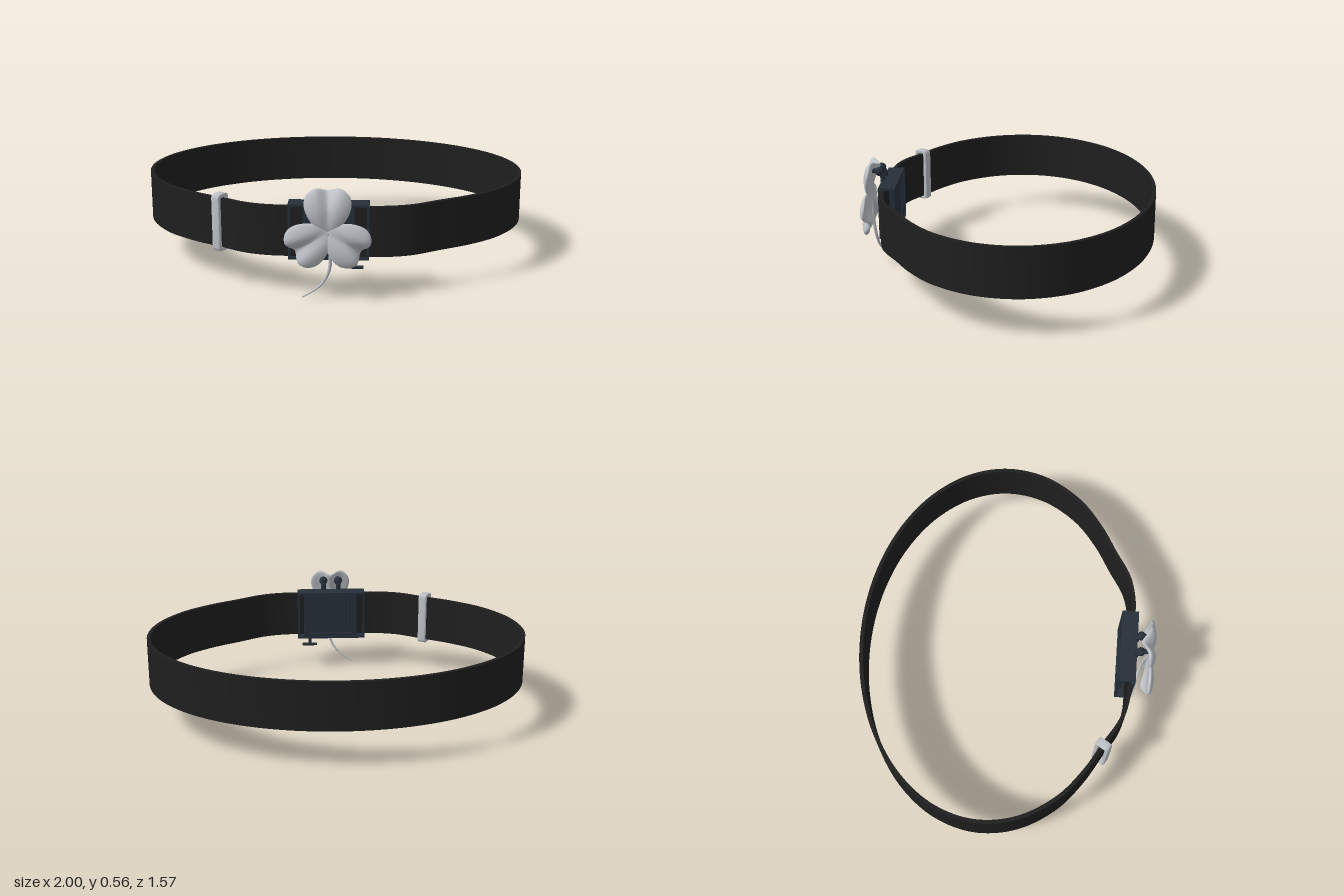
import * as THREE from 'three';
import { toCreasedNormals } from 'three/addons/utils/BufferGeometryUtils.js';
import { RoundedBoxGeometry } from 'three/addons/geometries/RoundedBoxGeometry.js';

const mat = (name, color) => Object.assign(new THREE.MeshStandardMaterial({ color }), { name });

export function createModel() {
  const leather = mat('black leather', 0x1f1f1f);
  const gunmetal = mat('dark gunmetal', 0x26303a);
  const silver = mat('silver', 0xbec2c8);
  const model = new THREE.Group();
  model.name = 'belt';

  const add = (parent, name, geometry, material, x = 0, y = 0, z = 0) => {
    const mesh = new THREE.Mesh(geometry, material);
    mesh.name = name;
    mesh.position.set(x, y, z);
    parent.add(mesh);
    return mesh;
  };

  // Strap: an oval flattened at the front, offset both ways for thickness
  const half = [[0.13, 0.652], [0.27, 0.65], [0.4, 0.618], [0.54, 0.535], [0.69, 0.445]];
  const pts = half.map(([x, z]) => new THREE.Vector3(x, 0, z));
  for (let i = 0; i <= 14; i++) {
    const a = 0.56 - (i / 14) * (Math.PI + 1.12);
    pts.push(new THREE.Vector3(0.99 * Math.cos(a), 0, -0.06 + 0.71 * Math.sin(a)));
  }
  half.reverse().forEach(([x, z]) => pts.push(new THREE.Vector3(-x, 0, z)));
  const path = new THREE.CatmullRomCurve3(pts, true);
  const N = 220;
  const offset = (d) => Array.from({ length: N }, (_, i) => {
    const p = path.getPointAt(i / N), t = path.getTangentAt(i / N);
    return new THREE.Vector2(p.x - t.z * d, -(p.z + t.x * d));
  });
  const strapShape = new THREE.Shape(offset(0.01));
  strapShape.holes.push(new THREE.Path(offset(-0.01)));
  const strapGeo = new THREE.ExtrudeGeometry(strapShape, { depth: 0.255, bevelEnabled: false });
  strapGeo.rotateX(-Math.PI / 2);
  add(model, 'strap', toCreasedNormals(strapGeo, 0.6), leather, 0, 0.2, 0);

  // Keeper loop around the strap
  const roundRect = (target, w, h, r) => {
    const x = w / 2, y = h / 2;
    target.moveTo(-x + r, -y);
    target.lineTo(x - r, -y).quadraticCurveTo(x, -y, x, -y + r);
    target.lineTo(x, y - r).quadraticCurveTo(x, y, x - r, y);
    target.lineTo(-x + r, y).quadraticCurveTo(-x, y, -x, y - r);
    target.lineTo(-x, -y + r).quadraticCurveTo(-x, -y, -x + r, -y);
    return target;
  };
  const loopShape = roundRect(new THREE.Shape(), 0.072, 0.288, 0.018);
  loopShape.holes.push(roundRect(new THREE.Path(), 0.046, 0.262, 0.008));
  const loopGeo = new THREE.ExtrudeGeometry(loopShape, {
    depth: 0.04, bevelEnabled: true, bevelSize: 0.003, bevelThickness: 0.003, bevelSegments: 2, curveSegments: 5,
  });
  loopGeo.translate(0, 0, -0.02);
  const loop = add(model, 'keeperLoop', toCreasedNormals(loopGeo, 0.6), silver, -0.545, 0.33, 0.535);
  loop.rotation.y = Math.PI / 2 - 0.54;

  // Buckle: top and bottom plates, corner posts, back panel
  const buckle = new THREE.Group();
  buckle.name = 'buckle';
  model.add(buckle);
  const box = (name, w, h, d, x, y, z) => add(buckle, name, new THREE.BoxGeometry(w, h, d), gunmetal, x, y, z);
  box('topPlate', 0.394, 0.012, 0.088, 0, 0.462, 0.637);
  box('bottomPlate', 0.394, 0.012, 0.088, 0, 0.194, 0.637);
  for (const x of [-0.191, 0.191]) {
    for (const z of [0.599, 0.675]) box('cornerPost', 0.012, 0.266, 0.012, x, 0.328, z);
  }
  box('backPanel', 0.25, 0.226, 0.012, 0.01, 0.328, 0.614);
  for (const x of [-0.135, 0.145]) box('panelSide', 0.03, 0.262, 0.03, x, 0.328, 0.613);
  for (const y of [0.208, 0.448]) box('panelRim', 0.28, 0.022, 0.026, 0.005, y, 0.61);
  box('frontPlate', 0.25, 0.258, 0.012, 0, 0.328, 0.672);

  // Release pin under the buckle
  add(buckle, 'pinShaft', new THREE.CylinderGeometry(0.009, 0.009, 0.06, 12), gunmetal, 0.127, 0.166, 0.638);
  add(buckle, 'pinBar', new RoundedBoxGeometry(0.086, 0.014, 0.02, 2, 0.005), gunmetal, 0.127, 0.138, 0.638);
  add(buckle, 'pinCollar', new THREE.CylinderGeometry(0.016, 0.016, 0.012, 12), gunmetal, 0.127, 0.184, 0.638);

  // Two hooks joining buckle and clover
  for (const x of [-0.045, 0.042]) {
    const hook = new THREE.CatmullRomCurve3([
      [x, 0.45, 0.675], [x, 0.495, 0.68], [x, 0.514, 0.697], [x * 0.9, 0.52, 0.74],
    ].map((p) => new THREE.Vector3(...p)));
    add(buckle, 'hook', new THREE.TubeGeometry(hook, 14, 0.014, 8), gunmetal);
    add(buckle, 'hookHead', new THREE.SphereGeometry(0.024, 14, 10), gunmetal, x, 0.515, 0.695);
  }

  // Clover leaf: a sphere pressed into a heart with two raised lobes
  const leafGeometry = (curl) => {
    const g = new THREE.SphereGeometry(1, 48, 32);
    g.rotateX(Math.PI / 2);
    const p = g.attributes.position;
    for (let i = 0; i < p.count; i++) {
      const x = p.getX(i), y = p.getY(i), z = p.getZ(i);
      const u = (y + 1) / 2;
      const groove = Math.exp(-((x / 0.28) ** 2));
      const width = 0.122 * (0.62 + 0.55 * u);
      const lobe = 0.012 * Math.sin(Math.PI * Math.min(1, Math.abs(x) * 1.1)) * u;
      p.setXYZ(i,
        x * width,
        -0.012 + 0.232 * u - 0.03 * groove * Math.max(0, y),
        Math.sign(z) * Math.abs(z) ** 0.8 * (0.012 + 0.014 * u)
          + lobe - 0.022 * groove * u + 0.012 * Math.sin(Math.PI * u) - curl * u * u);
    }
    g.computeVertexNormals();
    return g;
  };
  const clover = new THREE.Group();
  clover.name = 'clover';
  clover.position.set(0, 0.358, 0.752);
  model.add(clover);
  [[0, 0.028, 'topLeaf'], [2.15, 0, 'rightLeaf'], [-2.15, 0, 'leftLeaf']].forEach(([angle, curl, name]) => {
    add(clover, name, leafGeometry(curl), silver).rotation.z = angle;
  });

  // Stem: a tube that tapers towards its tip
  const stemPath = new THREE.CatmullRomCurve3([
    [0, 0.35, 0.755], [0.012, 0.24, 0.742], [0.006, 0.155, 0.732], [-0.028, 0.083, 0.722],
    [-0.075, 0.038, 0.714], [-0.128, 0.004, 0.708],
  ].map((p) => new THREE.Vector3(...p)));
  const stemGeo = new THREE.TubeGeometry(stemPath, 40, 0.012, 10);
  const sp = stemGeo.attributes.position, v = new THREE.Vector3();
  for (let i = 0; i < sp.count; i++) {
    const t = Math.floor(i / 11) / 40, c = stemPath.getPointAt(t);
    v.fromBufferAttribute(sp, i).sub(c).multiplyScalar(1 - 0.7 * t).add(c);
    sp.setXYZ(i, v.x, v.y, v.z);
  }
  add(model, 'stem', stemGeo, silver);

  return model;
}
